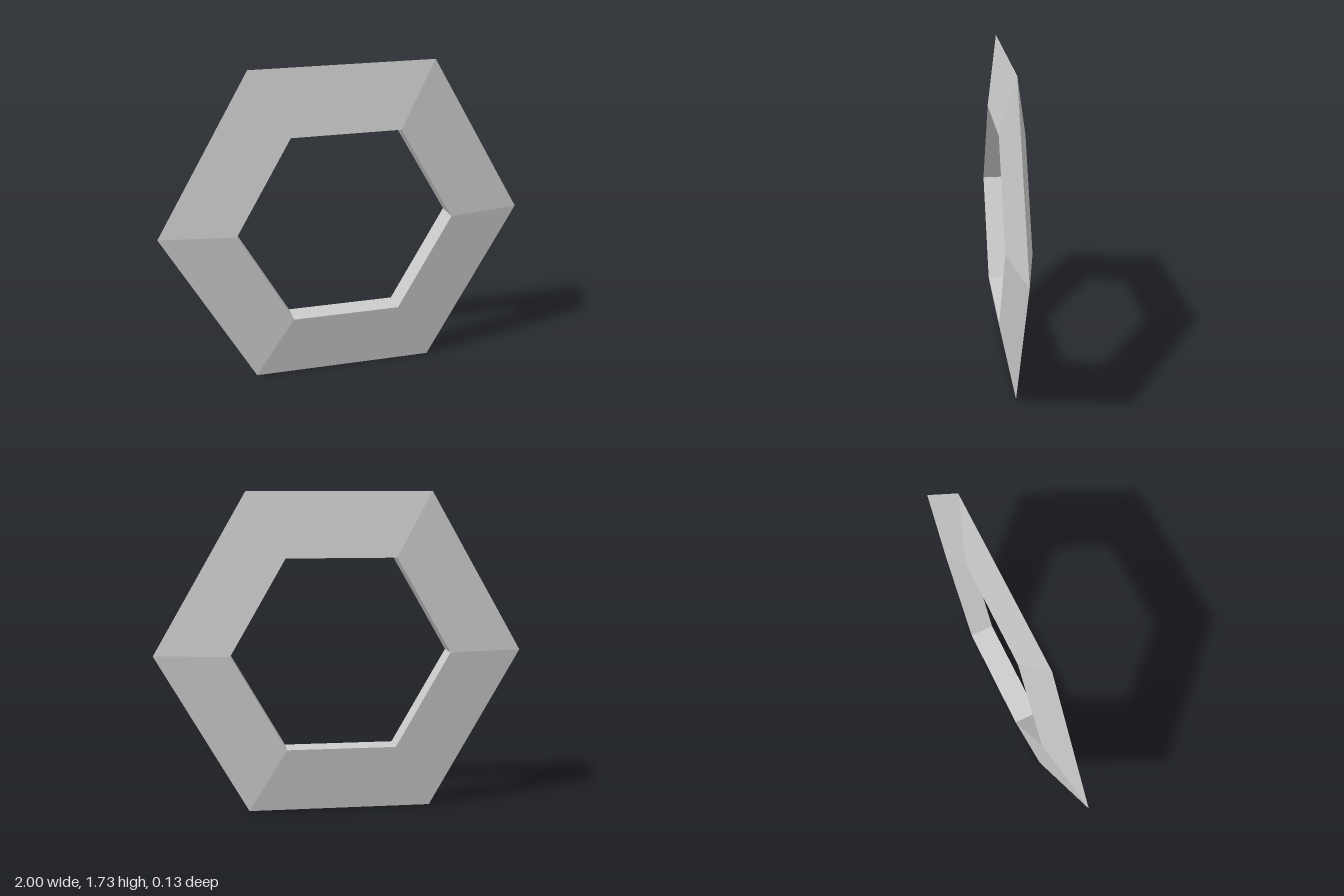
import * as THREE from 'three';

const OUTER = 1;           // corner radius of the sharp outer rim
const INNER = 0.595;       // corner radius of the opening
const HALF_DEPTH = 0.067;  // half thickness at the opening

export function createModel() {
  const group = new THREE.Group();
  group.name = 'hexagonalRing';

  // Wedge-shaped cross-section: flat inner wall, two slopes meeting at a sharp rim
  const profile = [
    [INNER, -HALF_DEPTH],
    [OUTER, 0],
    [INNER, HALF_DEPTH],
    [INNER, -HALF_DEPTH],
  ].map(([r, y]) => new THREE.Vector2(r, y));

  // Six-sided sweep with corners on the x axis, stood upright on one flat side
  const geometry = new THREE.LatheGeometry(profile, 6, Math.PI / 2).toNonIndexed();
  geometry.rotateX(Math.PI / 2);
  geometry.translate(0, OUTER * Math.sin(Math.PI / 3), 0);
  geometry.computeVertexNormals();

  const material = new THREE.MeshStandardMaterial({ color: 0xcccccc, flatShading: true });
  const ring = new THREE.Mesh(geometry, material);
  ring.name = 'bevelledRing';
  group.add(ring);

  return group;
}
